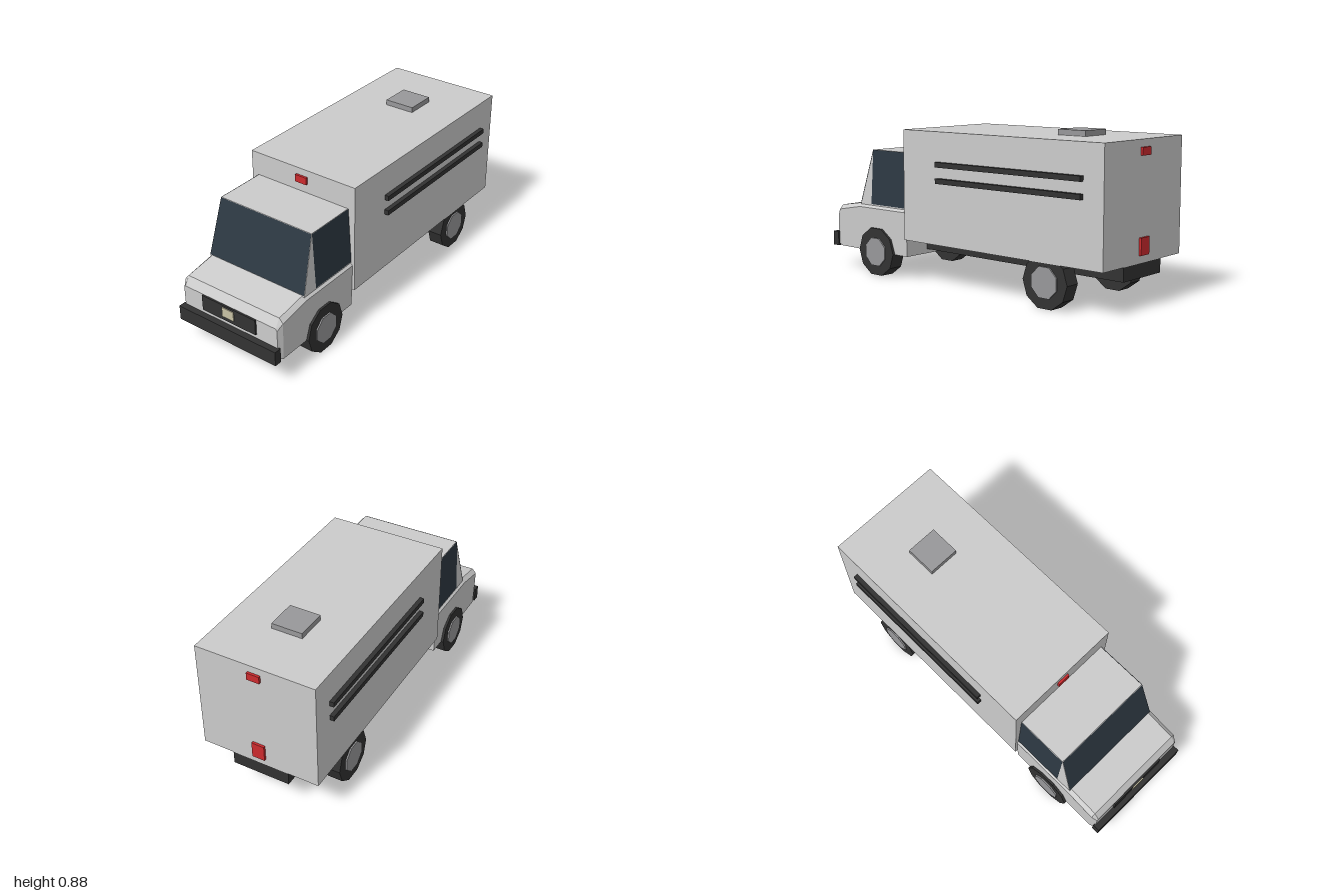
import * as THREE from 'three';

const mat = (color) => new THREE.MeshStandardMaterial({ color, flatShading: true });
const BODY = mat(0xcccccc), DARK = mat(0x323232), GLASS = mat(0x2d3842);
const RED = mat(0xcc2a2e), VENT = mat(0x98989a), PLATE = mat(0xc8c2a4);
GLASS.side = THREE.DoubleSide;

// Skins a row of equal closed sections (counter-clockwise seen from +z, back to front), with end caps
function loft(sections) {
  const n = sections[0].length, index = [];
  for (let s = 0; s < sections.length - 1; s++) {
    for (let i = 0; i < n; i++) {
      const a = s * n + i, b = s * n + (i + 1) % n;
      index.push(a, b, b + n, a, b + n, a + n);
    }
  }
  const last = (sections.length - 1) * n;
  for (let i = 1; i < n - 1; i++) {
    index.push(0, i + 1, i, last, last + i, last + i + 1);
  }
  const geo = new THREE.BufferGeometry();
  geo.setAttribute('position', new THREE.Float32BufferAttribute(sections.flat(2), 3));
  geo.setIndex(index);
  const flat = geo.toNonIndexed();
  flat.computeVertexNormals();
  return flat;
}

// Single four-cornered pane
function pane(a, b, c, d) {
  const geo = new THREE.BufferGeometry();
  geo.setAttribute('position', new THREE.Float32BufferAttribute([a, b, c, a, c, d].flat(), 3));
  geo.computeVertexNormals();
  return geo;
}

export function createModel() {
  const model = new THREE.Group();
  model.name = 'boxTruck';

  const add = (name, geo, material) => {
    const mesh = new THREE.Mesh(geo, material);
    mesh.name = name;
    model.add(mesh);
    return mesh;
  };
  // Box given by its limits on each axis
  const box = (name, [x0, x1], [y0, y1], [z0, z1], material) => {
    const mesh = add(name, new THREE.BoxGeometry(x1 - x0, y1 - y0, z1 - z0), material);
    mesh.position.set((x0 + x1) / 2, (y0 + y1) / 2, (z0 + z1) / 2);
    return mesh;
  };

  // Cargo box, chassis and roof vent
  box('cargoBox', [-0.338, 0.338], [0.24, 0.857], [-0.987, 0.37], BODY);
  box('chassis', [-0.163, 0.163], [0.165, 0.245], [-0.985, 0.38], DARK);
  box('roofVent', [-0.088, 0.088], [0.85, 0.887], [-0.69, -0.515], VENT);

  // Marker lights
  box('frontMarkerLight', [-0.036, 0.036], [0.777, 0.818], [0.36, 0.382], RED);
  box('rearMarkerLight', [-0.036, 0.036], [0.777, 0.818], [-1, -0.98], RED);
  box('tailLight', [-0.036, 0.036], [0.28, 0.37], [-1, -0.98], RED);

  // Side rails
  for (const side of [-1, 1]) {
    for (const y of [0.593, 0.681]) {
      const rail = box('sideRail', [-0.016, 0.016], [y - 0.014, y + 0.014], [-0.865, 0.105], DARK);
      rail.position.x = side * 0.346;
    }
  }

  // Lower cab and hood: [z, bottom, lower half width, shoulder half width, shoulder y, top half width, top y]
  const hood = [
    [0.37, 0.14, 0.32, 0.325, 0.39, 0.302, 0.412],
    [0.757, 0.14, 0.32, 0.325, 0.39, 0.302, 0.412],
    [0.935, 0.14, 0.32, 0.325, 0.358, 0.302, 0.383],
    [0.965, 0.155, 0.31, 0.31, 0.322, 0.302, 0.335],
  ];
  add('cabLower', loft(hood.map(([z, yb, wb, ws, ys, wt, yt]) => [
    [-wb, yb, z], [wb, yb, z], [ws, ys, z], [wt, yt, z], [-wt, yt, z], [-ws, ys, z],
  ])), BODY);

  // Upper cab, lofted from the back wall to the sloping windshield
  add('cabUpper', loft([[0.37, 0.37], [0.757, 0.665]].map(([zb, zt]) => [
    [-0.315, 0.405, zb], [0.315, 0.405, zb], [0.295, 0.725, zt], [-0.295, 0.725, zt],
  ])), BODY);

  // Glass, just proud of the cab
  add('windshield', pane(
    [-0.314, 0.415, 0.757], [0.314, 0.415, 0.757], [0.295, 0.724, 0.668], [-0.295, 0.724, 0.668],
  ), GLASS);
  for (const s of [-1, 1]) {
    const p = [
      [s * 0.317, 0.412, 0.665], [s * 0.317, 0.412, 0.37],
      [s * 0.2975, 0.724, 0.37], [s * 0.2975, 0.724, 0.665],
    ];
    add('sideWindow', pane(...(s > 0 ? p : p.reverse())), GLASS);
  }

  // Grille, plate and bumper
  box('grille', [-0.177, 0.177], [0.245, 0.335], [0.95, 0.975], DARK);
  box('frontPlate', [-0.038, 0.038], [0.268, 0.323], [0.96, 0.98], PLATE);
  box('frontBumper', [-0.322, 0.322], [0.137, 0.22], [0.957, 1], DARK);

  // Wheels: ten-sided tyres with eight-sided hubs
  const tyreGeo = new THREE.CylinderGeometry(0.142, 0.142, 0.086, 10).rotateZ(Math.PI / 2);
  const hubGeo = new THREE.CylinderGeometry(0.086, 0.086, 0.03, 8).rotateY(Math.PI / 8).rotateZ(Math.PI / 2);
  for (const side of [-1, 1]) {
    for (const [name, z] of [['frontWheel', 0.612], ['rearWheel', -0.631]]) {
      const wheel = new THREE.Group();
      wheel.name = name;
      const tyre = new THREE.Mesh(tyreGeo, DARK);
      tyre.name = 'tyre';
      const hub = new THREE.Mesh(hubGeo, VENT);
      hub.name = 'hub';
      hub.position.x = side * 0.036;
      wheel.add(tyre, hub);
      wheel.position.set(side * 0.292, 0.142, z);
      model.add(wheel);
    }
  }
  return model;
}
